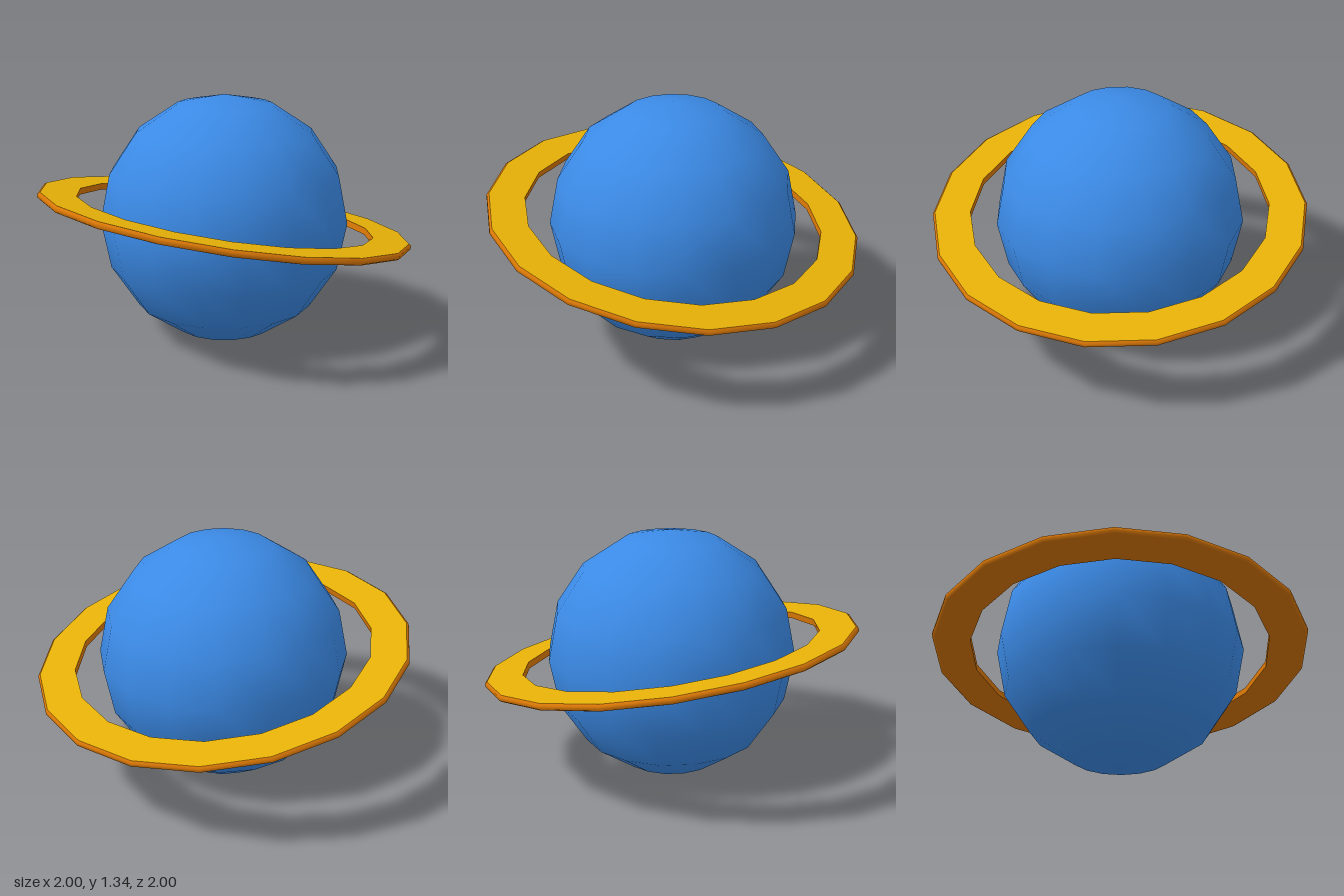
import * as THREE from 'three';

const blue = new THREE.MeshStandardMaterial({ color: 0x3b8ae6 });
const gold = new THREE.MeshStandardMaterial({ color: 0xeab308 });
const orange = new THREE.MeshStandardMaterial({ color: 0xd97706 });
blue.name = 'planet blue';
gold.name = 'ring gold';
orange.name = 'ring orange';

const INNER = 0.81, SHOULDER = 1.003, OUTER = 1.015, HALF = 0.018;

// One 18-sided band of the ring, turned from a profile of [radius, height] points
function band(name, profile, material) {
  const points = profile.map(([r, y]) => new THREE.Vector2(r, y));
  const geometry = new THREE.LatheGeometry(points, 18).rotateY(Math.PI / 2);
  const mesh = new THREE.Mesh(geometry, material);
  mesh.name = name;
  return mesh;
}

export function createModel() {
  const model = new THREE.Group();
  model.name = 'ringedPlanet';

  // Low-poly globe with smooth shading
  const globe = new THREE.Mesh(new THREE.SphereGeometry(0.67, 16, 8), blue);
  globe.name = 'globe';
  globe.position.y = 0.67;
  model.add(globe);

  // Tilted flat ring: gold top, orange rim, underside and inner wall
  const ring = new THREE.Group();
  ring.name = 'ring';
  ring.add(
    band('ringTop', [[SHOULDER, HALF], [INNER, HALF]], gold),
    band('ringRimAndUnderside', [
      [INNER, -HALF], [SHOULDER, -HALF],
      [OUTER, -HALF * 0.5], [OUTER, HALF * 0.5], [SHOULDER, HALF],
    ], orange),
    band('ringInnerWall', [[INNER, HALF], [INNER, -HALF]], orange),
  );
  ring.position.y = 0.672;
  ring.rotation.z = -Math.PI / 18;
  model.add(ring);

  return model;
}
